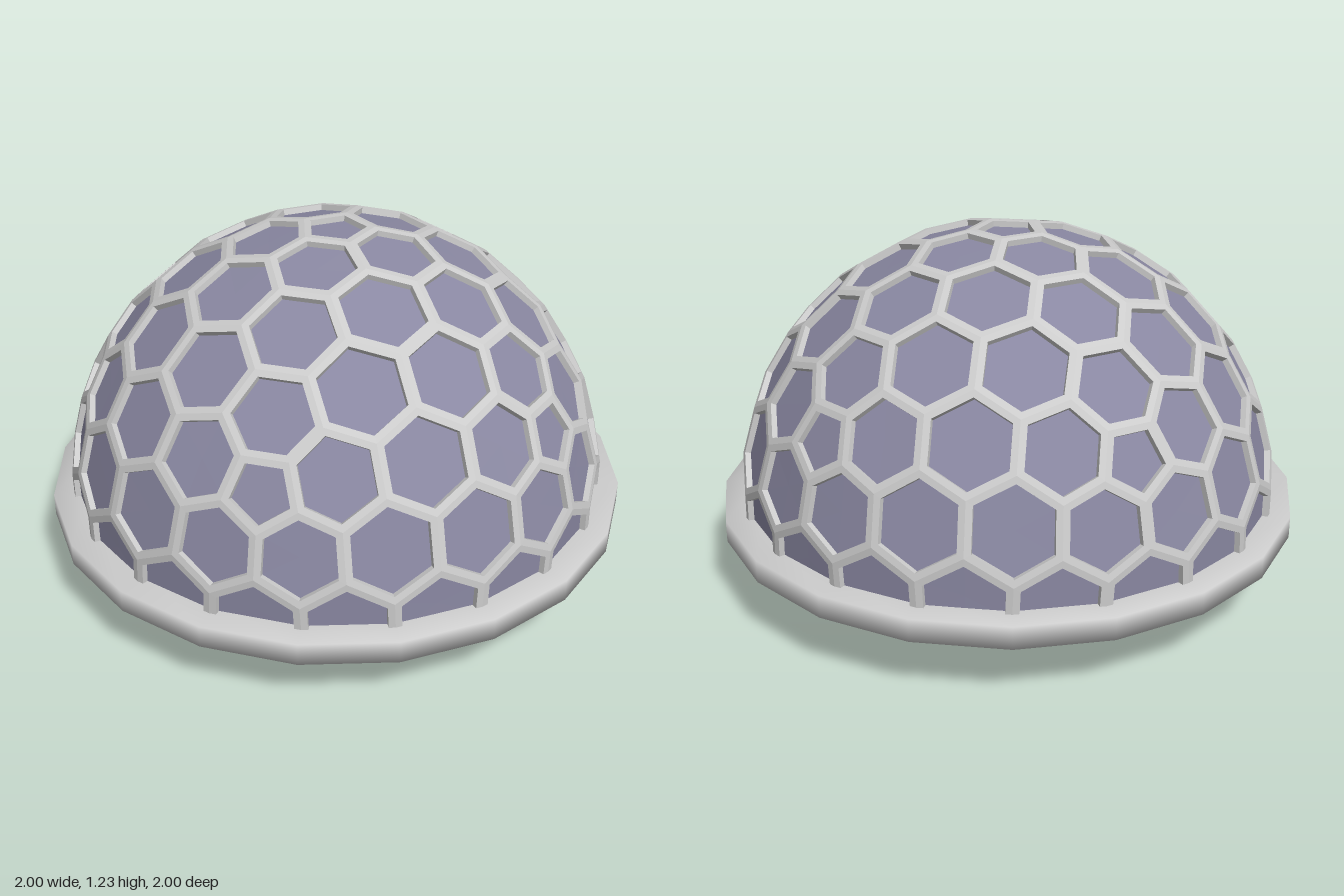
import * as THREE from 'three';

const R = 0.945;        // dome radius at the lattice corners
const BASE_Y = 0.293;   // height of the dome's equator
const HALF_STRUT = 0.022;
const DEPTH = 0.02;     // how far the panes sit below the struts

// Cells (five- and six-sided) around each vertex of a subdivided icosahedron.
function domeCells() {
  const geo = new THREE.IcosahedronGeometry(1, 3);
  const phi = (1 + Math.sqrt(5)) / 2;
  // one corner to the top, a neighbouring one towards +x
  const up = new THREE.Vector3(0, 1, phi).normalize();
  const side = new THREE.Vector3(0, -1, phi).normalize();
  side.addScaledVector(up, -side.dot(up)).normalize();
  const third = new THREE.Vector3().crossVectors(side, up);
  geo.applyMatrix4(new THREE.Matrix4().makeBasis(side, up, third).transpose());

  const pos = geo.attributes.position;
  const cells = new Map();
  for (let i = 0; i < pos.count; i += 3) {
    const tri = [0, 1, 2].map(k => new THREE.Vector3().fromBufferAttribute(pos, i + k));
    const mid = new THREE.Vector3().add(tri[0]).add(tri[1]).add(tri[2]).normalize();
    for (const v of tri) {
      const key = v.toArray().map(n => Math.round(n * 1000) + 0).join();
      if (!cells.has(key)) cells.set(key, { center: v, corners: [] });
      cells.get(key).corners.push(mid);
    }
  }

  // order the corners counter-clockwise as seen from outside
  for (const { center, corners } of cells.values()) {
    const u = corners[0].clone().addScaledVector(center, -corners[0].dot(center)).normalize();
    const w = new THREE.Vector3().crossVectors(center, u);
    const angle = p => Math.atan2(p.dot(w), p.dot(u));
    corners.sort((a, b) => angle(a) - angle(b));
  }
  return [...cells.values()].filter(c => c.center.y > -0.05);
}

function mean(points) {
  return points.reduce((s, p) => s.add(p), new THREE.Vector3()).divideScalar(points.length);
}

// Cut the lowest cells off just inside the base ring.
function cut(p) {
  p.y = Math.max(p.y, -0.02);
  return p;
}

function facetedMesh(name, points, color) {
  const geo = new THREE.BufferGeometry().setFromPoints(points);
  geo.computeVertexNormals();
  const mesh = new THREE.Mesh(geo, new THREE.MeshStandardMaterial({
    color, flatShading: true, side: THREE.DoubleSide }));
  mesh.name = name;
  mesh.position.y = BASE_Y;
  return mesh;
}

export function createModel() {
  const model = new THREE.Group();
  model.name = 'dome';

  const struts = [], panes = [];
  for (const { corners } of domeCells()) {
    const full = corners.map(c => c.clone().multiplyScalar(R));
    const mid = mean(full);
    const n = full.length;
    const apothem = full.reduce((s, p, i) =>
      s + p.clone().add(full[(i + 1) % n]).multiplyScalar(0.5).distanceTo(mid), 0) / n;
    const inset = full.map(p => p.clone().lerp(mid, HALF_STRUT / apothem));
    const outer = full.map(cut);
    const sunk = inset.map(p => cut(p.clone().multiplyScalar(1 - DEPTH / R)));
    inset.forEach(cut);
    const hub = mean(sunk);

    for (let i = 0; i < n; i++) {
      const j = (i + 1) % n;
      // strut face, strut side wall, slice of the pane
      struts.push(outer[i], outer[j], inset[j], outer[i], inset[j], inset[i]);
      struts.push(inset[i], inset[j], sunk[j], inset[i], sunk[j], sunk[i]);
      panes.push(hub, sunk[i], sunk[j]);
    }
  }
  model.add(facetedMesh('latticeStruts', struts, 0xcccccc));
  model.add(facetedMesh('windowPanes', panes, 0x8a88a2));

  // Twenty-sided base: shallow cone underneath, rim ring on top
  const k = 1 / Math.cos(Math.PI / 20);
  const profile = [[0, 0], [0.295, 0], [0.93, 0.215], [1, 0.215], [1, 0.293], [0.88, 0.293], [0, 0.293]]
    .map(([r, y]) => new THREE.Vector2(r * k, y));
  const base = new THREE.Mesh(
    new THREE.LatheGeometry(profile, 20, Math.PI / 20),
    new THREE.MeshStandardMaterial({ color: 0xcccccc }));
  base.name = 'baseRing';
  model.add(base);

  return model;
}
